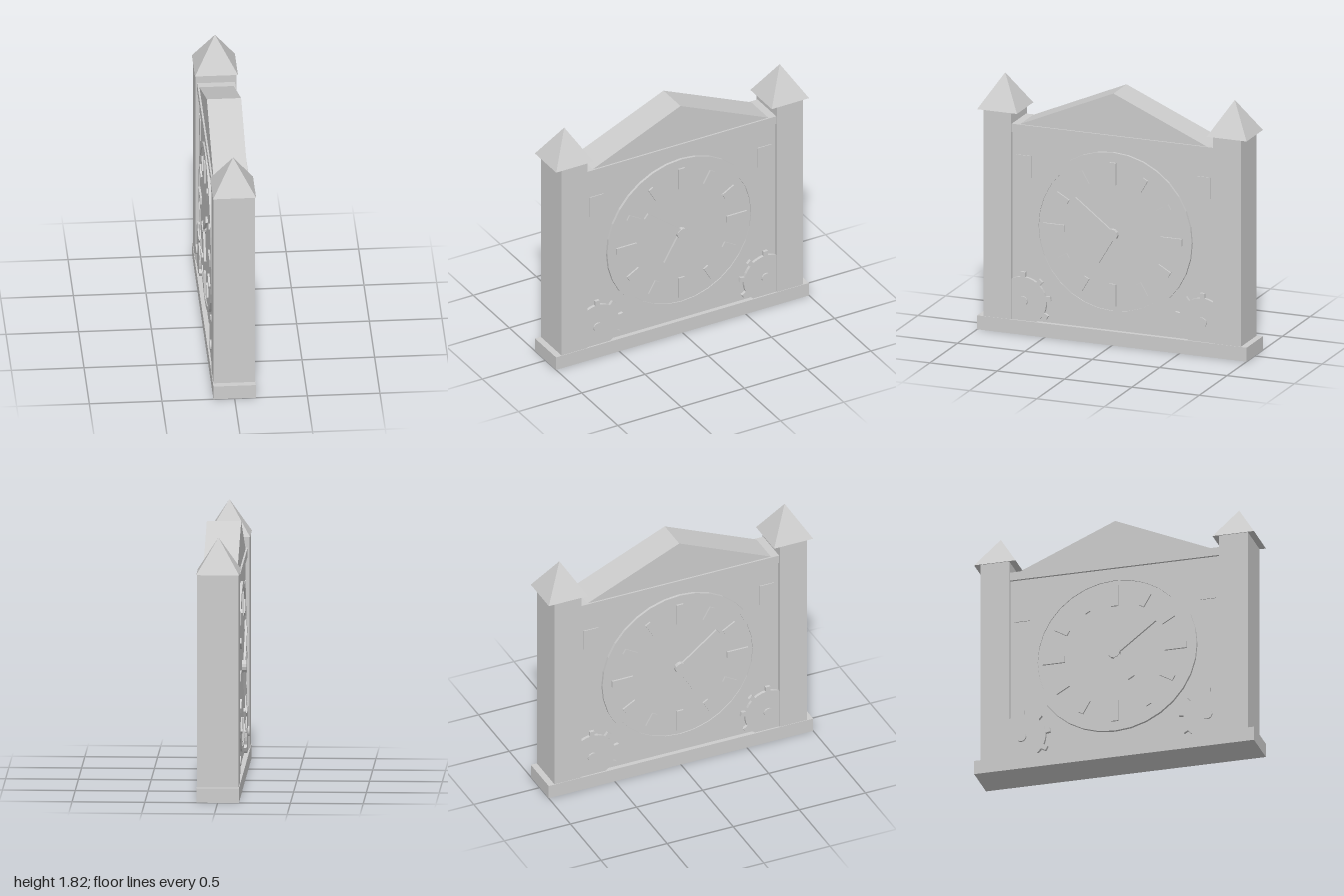
import * as THREE from 'three';

const stone = new THREE.MeshStandardMaterial({ color: 0xcccccc });
stone.name = 'pale stone';

function addMesh(parent, name, geometry, x = 0, y = 0, z = 0) {
  const mesh = new THREE.Mesh(geometry, stone);
  mesh.name = name;
  mesh.position.set(x, y, z);
  parent.add(mesh);
  return mesh;
}

const box = (w, h, d) => new THREE.BoxGeometry(w, h, d);

const extrude = (shape, depth) =>
  new THREE.ExtrudeGeometry(shape, { depth, bevelEnabled: false });

function polygon(sides, radius) {
  const points = [];
  for (let i = 0; i < sides; i++) {
    const a = Math.PI / 2 + (i / sides) * Math.PI * 2;
    points.push(new THREE.Vector2(radius * Math.cos(a), radius * Math.sin(a)));
  }
  return points;
}

// Outline of a gear with square teeth, the first one pointing up
function gearShape(teeth, root, tip, halfWidth) {
  const points = [];
  const step = (Math.PI * 2) / teeth;
  const polar = (r, a) => points.push(new THREE.Vector2(r * Math.cos(a), r * Math.sin(a)));
  for (let i = 0; i < teeth; i++) {
    const a = Math.PI / 2 + i * step;
    const inner = Math.asin(halfWidth / root);
    const outer = Math.asin(halfWidth / tip);
    polar(root, a - inner);
    polar(tip, a - outer);
    polar(tip, a + outer);
    polar(root, a + inner);
    polar(root, a + step * 0.37);
    polar(root, a + step * 0.63);
  }
  return new THREE.Shape(points);
}

// One decorated side; s = 1 faces +x, s = -1 is its mirror image facing -x
function createClockSide(s) {
  const side = new THREE.Group();
  side.name = s > 0 ? 'leftClockSide' : 'rightClockSide';
  side.rotation.y = (s * Math.PI) / 2;
  const u = (z) => -s * z;

  // Dial with a raised rim
  const centre = 0.793;
  addMesh(side, 'dial', extrude(new THREE.Shape(polygon(32, 0.56)), 0.025), 0, centre, 0.1);
  const rim = new THREE.Shape(polygon(32, 0.587));
  rim.holes.push(new THREE.Path(polygon(32, 0.55)));
  addMesh(side, 'dialRim', extrude(rim, 0.032), 0, centre, 0.1);

  // Hour markers, longer at the quarters
  for (let i = 0; i < 12; i++) {
    const a = (i * Math.PI) / 6;
    const quarter = i % 3 === 0;
    const marker = addMesh(side, 'hourMarker',
      quarter ? box(0.05, 0.158, 0.02) : box(0.04, 0.105, 0.02),
      0.435 * Math.sin(a), centre + 0.435 * Math.cos(a), 0.128);
    marker.rotation.z = -a;
  }

  // Hands and hub
  const addHand = (name, z, y, width) => {
    const length = Math.hypot(z, y);
    const hand = addMesh(side, name, box(width, length, 0.015), u(z / 2), centre + y / 2, 0.14);
    hand.rotation.z = Math.atan2(-u(z), y);
  };
  addHand('minuteHand', 0.285, 0.22, 0.045);
  addHand('hourHand', 0.122, -0.205, 0.052);
  addMesh(side, 'handHub', extrude(new THREE.Shape(polygon(12, 0.042)), 0.03), 0, centre, 0.125);

  // Corner gears and upper windows
  for (const m of [1, -1]) {
    const z = u(m * 0.665);
    addMesh(side, 'cornerGear', extrude(gearShape(9, 0.172, 0.207, 0.017), 0.035), z, 0.24, 0.1);
    addMesh(side, 'gearHub', extrude(new THREE.Shape(polygon(16, 0.035)), 0.022), z, 0.24, 0.125);
    addMesh(side, 'window', box(0.11, 0.155, 0.009), z, 1.202, 0.115);
  }
  return side;
}

export function createModel() {
  const model = new THREE.Group();
  model.name = 'clockBuilding';

  // Base and wall
  addMesh(model, 'base', box(0.292, 0.1, 2), 0, 0.05, 0);
  addMesh(model, 'wall', box(0.226, 1.36, 1.52), 0, 0.77, 0);

  // Cornice and gable roof
  addMesh(model, 'cornice', box(0.26, 0.06, 1.5), 0, 1.47, 0);
  const gable = new THREE.Shape([
    new THREE.Vector2(-0.705, 1.495),
    new THREE.Vector2(0.705, 1.495),
    new THREE.Vector2(0, 1.8),
  ]);
  const gableGeometry = extrude(gable, 0.236).translate(0, 0, -0.118).rotateY(Math.PI / 2);
  addMesh(model, 'gableRoof', gableGeometry);

  // Towers with pyramid roofs
  for (const m of [1, -1]) {
    addMesh(model, 'tower', box(0.284, 1.49, 0.205), 0, 0.835, m * 0.8525);
    const roof = new THREE.ConeGeometry(0.148 * Math.SQRT2, 0.24, 4)
      .rotateY(Math.PI / 4).toNonIndexed();
    roof.computeVertexNormals();
    addMesh(model, 'towerRoof', roof, 0, 1.7, m * 0.852);
  }

  model.add(createClockSide(1), createClockSide(-1));
  return model;
}
